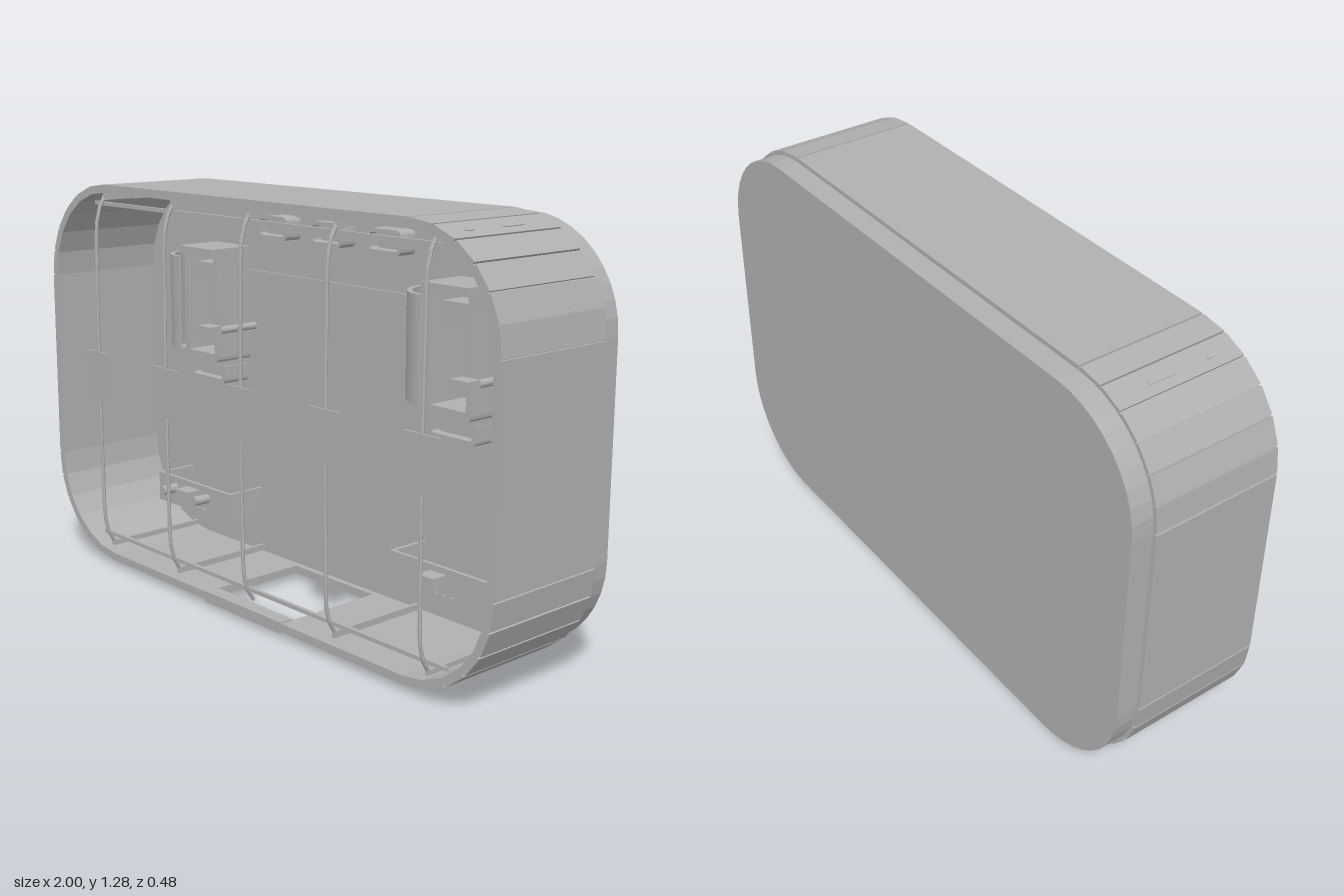
import * as THREE from 'three';

const BACK = -0.16, FRONT = 0.235, SHELL_BACK = -0.172;

export function createModel() {
  const root = new THREE.Group();
  root.name = 'openCabinet';
  const grey = new THREE.MeshStandardMaterial({ color: 0xb0b0b0, flatShading: true, side: THREE.DoubleSide });
  grey.name = 'matte grey';

  const add = (name, geo, parent = root) => {
    const m = new THREE.Mesh(geo, grey);
    m.name = name;
    parent.add(m);
    return m;
  };
  // Box given by its limits
  const box = (name, x0, x1, y0, y1, z0, z1, parent) =>
    add(name, new THREE.BoxGeometry(x1 - x0, y1 - y0, z1 - z0)
      .translate((x0 + x1) / 2, (y0 + y1) / 2, (z0 + z1) / 2), parent);
  const prism = (name, pts, z0, z1, parent) =>
    add(name, new THREE.ExtrudeGeometry(new THREE.Shape(pts), { depth: z1 - z0, bevelEnabled: false })
      .translate(0, 0, z0), parent);
  const post = (name, x, y, z0, z1, r, parent) =>
    add(name, new THREE.CylinderGeometry(r, r, z1 - z0, 12).rotateX(Math.PI / 2)
      .translate(x, y, (z0 + z1) / 2), parent);
  // Faceted rounded rectangle outline, inset from the outer shell
  const outline = (inset, seg = 6) => {
    const pts = [], r = 0.32 - inset;
    [[1, 1], [-1, 1], [-1, -1], [1, -1]].forEach(([sx, sy], q) => {
      for (let i = 0; i <= seg; i++) {
        const a = (q + i / seg) * Math.PI / 2;
        pts.push(new THREE.Vector2(sx * 0.68 + r * Math.cos(a), 0.65 + sy * 0.31 + r * Math.sin(a)));
      }
    });
    return pts;
  };
  // Rectangular frame with rounded corners, raised along z
  const frame = (name, cx, cy, w, h, t, z0, z1, r, parent) => {
    const rect = (p, hw, hh, k) => {
      p.moveTo(cx - hw + k, cy - hh);
      [[1, -1], [1, 1], [-1, 1], [-1, -1]].forEach(([sx, sy], i) => {
        const px = cx + sx * hw, py = cy + sy * hh;
        if (i % 2 === 0) {
          p.lineTo(px - sx * k, py);
          p.quadraticCurveTo(px, py, px, py - sy * k);
        } else {
          p.lineTo(px, py - sy * k);
          p.quadraticCurveTo(px, py, px - sx * k, py);
        }
      });
      return p;
    };
    const s = rect(new THREE.Shape(), w / 2, h / 2, r);
    s.holes.push(rect(new THREE.Path(), w / 2 - t, h / 2 - t, r * 0.5));
    return add(name, new THREE.ExtrudeGeometry(s, { depth: z1 - z0, bevelEnabled: false, curveSegments: 4 })
      .translate(0, 0, z0), parent);
  };

  // Shell: outer panels with narrow seams over a continuous inner lining
  const shell = new THREE.Group();
  shell.name = 'shell';
  root.add(shell);
  const layer = (name, a, b, gap) => {
    const o = outline(a), n = outline(b);
    o.forEach((p, i) => {
      const j = (i + 1) % o.length;
      if (p.y < 0.1 && o[j].y < 0.1 && Math.abs(p.x - o[j].x) > 1) {
        // Floor panel with a service opening in the middle
        box(name, -0.68, -0.18, a + 0.02, b + 0.02, SHELL_BACK, FRONT, shell);
        box(name, 0.18, 0.68, a + 0.02, b + 0.02, SHELL_BACK, FRONT, shell);
        box(name, -0.18, 0.18, a + 0.02, b + 0.02, 0.195, FRONT, shell);
        box(name, -0.18, 0.18, a + 0.02, b + 0.02, SHELL_BACK, -0.14, shell);
        return;
      }
      const f = gap / p.distanceTo(o[j]);
      prism(name, [p.clone().lerp(o[j], f), o[j].clone().lerp(p, f),
        n[j].clone().lerp(n[i], f), n[i].clone().lerp(n[j], f)], SHELL_BACK, FRONT, shell);
    });
  };
  layer('wallPanel', 0, 0.008, 0.003);
  layer('wallLining', 0.008, 0.026, 0);
  prism('backPan', outline(0.014, 10), -0.24, BACK, shell);

  // Sill and latch knob under the service opening
  box('frontSill', -0.18, 0.18, 0.015, 0.05, 0.19, 0.238);
  add('latchKnob', new THREE.CylinderGeometry(0.018, 0.014, 0.022, 12).translate(0.205, 0.011, -0.005));

  // Bowed upright rods, square tags and the ribs that hold them
  for (const x of [-0.74, -0.37, 0, 0.37, 0.74]) {
    const path = new THREE.CatmullRomCurve3([[0.06, 0.19], [0.12, 0.222], [0.35, 0.232], [0.65, 0.234],
      [0.95, 0.232], [1.18, 0.222], [1.245, 0.19]].map(([y, z]) => new THREE.Vector3(x, y, z)));
    add('uprightRod', new THREE.TubeGeometry(path, 24, 0.006, 6));
    box('squareTag', x - 0.066, x + 0.066, 0.57, 0.73, 0.234, 0.24);
    box('ceilingRib', x - 0.006, x + 0.006, 1.225, 1.25, BACK, 0.2);
    if (x) box('floorRib', x - 0.006, x + 0.006, 0.05, 0.07, BACK, 0.2);
  }
  for (const y of [0.088, 1.212]) box('crossRail', -0.8, 0.8, y - 0.006, y + 0.006, 0.18, 0.192);
  for (const s of [-1, 1]) {
    box('ceilingStrip', s * 0.245 - 0.085, s * 0.245 + 0.085, 1.235, 1.25, 0.1, 0.16);
    box('ceilingStrip', s * 0.71 - 0.06, s * 0.71 + 0.06, 1.232, 1.242, 0.1, 0.14);
  }
  box('backLedge', -0.85, 0.85, 0.994, 1.0, BACK, BACK + 0.008);

  // Clips under the ceiling
  for (const x of [-0.25, 0, 0.25]) {
    frame('topClip', x, 1.153, 0.14, 0.074, 0.012, BACK, -0.1, 0.02);
    box('topClipFace', x - 0.05, x + 0.05, 1.13, 1.18, BACK, -0.13);
    box('topClipFoot', x - 0.05, x + 0.05, 1.106, 1.118, BACK, -0.11);
  }

  // Two holders, each with a curved guard, a raised frame and a side pin
  for (const x of [-0.535, 0.57]) {
    const h = new THREE.Group();
    h.name = 'holder';
    h.position.x = x;
    root.add(h);
    const arc = [], inner = [];
    for (let i = 0; i <= 12; i++) {
      const a = Math.PI * (0.5 + 0.5 * i / 12);
      arc.push(new THREE.Vector2(-0.065 + 0.13 * Math.cos(a), -0.07 + 0.15 * Math.sin(a)));
      inner.unshift(new THREE.Vector2(-0.065 + 0.115 * Math.cos(a), -0.07 + 0.135 * Math.sin(a)));
    }
    add('curvedGuard', new THREE.ExtrudeGeometry(new THREE.Shape([...arc, ...inner]),
      { depth: 0.31, bevelEnabled: false }).rotateX(Math.PI / 2).translate(0, 1.04, 0), h);
    const guard = h.children[0];
    guard.position.z = -0.07;
    box('guardRoot', -0.195, -0.18, 0.73, 1.04, BACK, -0.13, h);
    frame('holderFrame', 0.02, 0.885, 0.17, 0.37, 0.018, BACK, -0.02, 0.02, h);
    box('holderTop', -0.07, 0.105, 1.05, 1.075, BACK, 0, h);
    box('holderShelf', -0.125, 0.1, 0.69, 0.73, BACK, -0.02, h);
    box('holderPad', -0.065, 0.055, 0.96, 1.02, BACK, -0.06, h);
    frame('holderFoot', 0, 0.66, 0.18, 0.07, 0.014, BACK, -0.06, 0.015, h);
    box('holderFootFace', -0.08, 0.08, 0.635, 0.685, BACK, -0.09, h);
    post('sidePin', 0.125, 0.815, BACK, 0.02, 0.012, h);
    box('pinHead', 0.09, 0.155, 0.795, 0.835, 0.0, 0.05, h);
  }

  // Low brackets with a connector, screws and small contacts
  for (const s of [-1, 1]) {
    const b = new THREE.Group();
    b.name = 'lowBracket';
    b.position.x = s * 0.57;
    root.add(b);
    box('bracketPlate', -0.195, 0.195, 0.168, 0.268, -0.03, -0.018, b);
    for (const e of [-0.195, 0.183]) box('bracketFlange', e, e + 0.012, 0.168, 0.268, BACK, -0.02, b);
    box('connector', -0.032, 0.032, 0.21, 0.25, -0.02, 0.035, b);
    for (let i = -2; i <= 2; i++) box('contact', i * 0.03 - 0.007, i * 0.03 + 0.007, 0.182, 0.19, -0.02, -0.012, b);
    if (s < 0) for (const p of [-0.1, 0.075]) post('screwPost', p, 0.23, -0.02, 0.04, 0.016, b);
  }

  // Small slots on the upper corner facets
  for (const s of [-1, 1]) {
    for (const [z, d] of [[-0.015, 0.08], [0.15, 0.03]]) {
      const slot = add('cornerSlot', new THREE.BoxGeometry(0.012, 0.006, d));
      slot.position.set(s * 0.805, 1.251, z);
      slot.rotation.z = -s * 0.39;
    }
  }
  return root;
}
